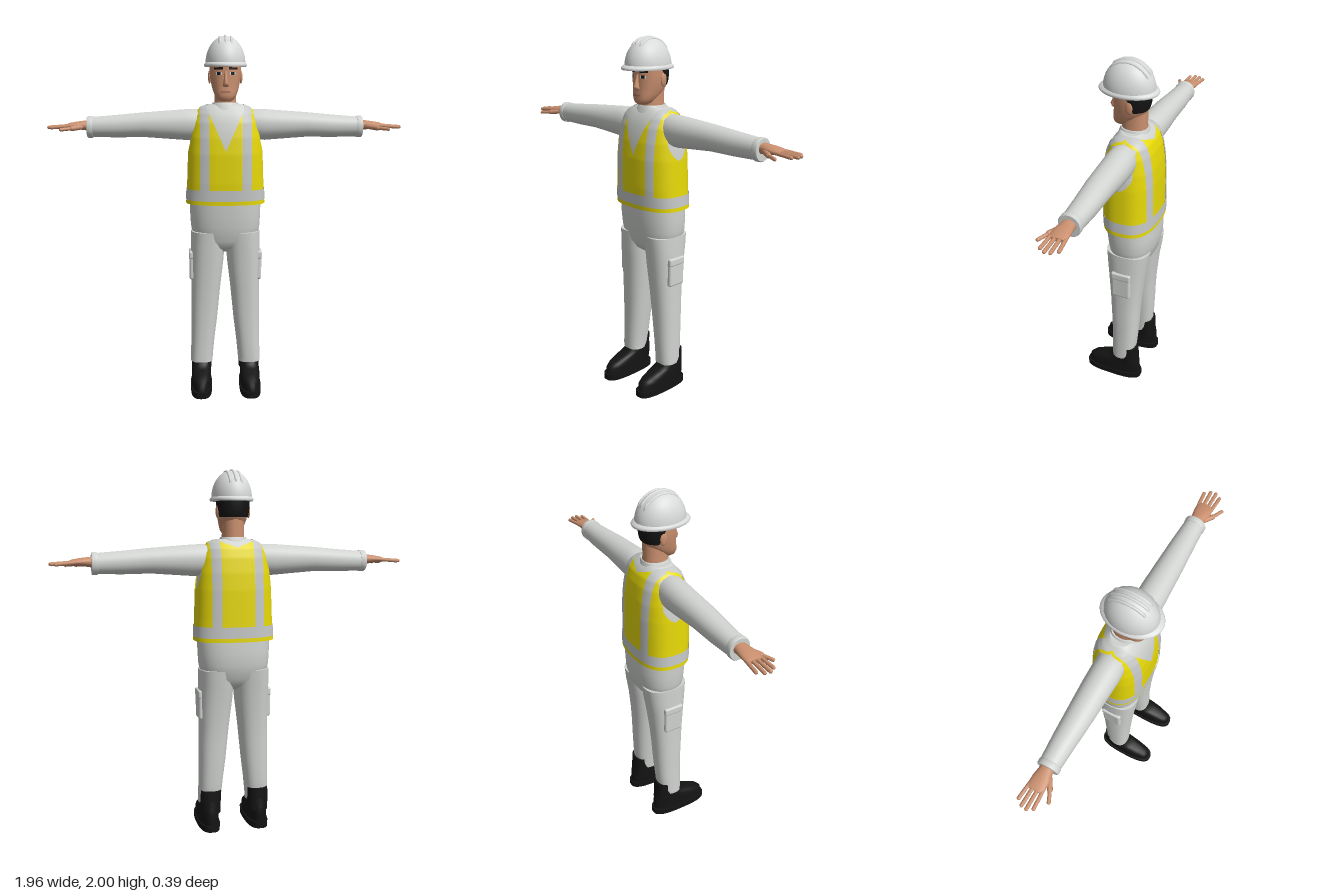
import * as THREE from 'three';
import { RoundedBoxGeometry } from 'three/addons/geometries/RoundedBoxGeometry.js';
import { mergeVertices } from 'three/addons/utils/BufferGeometryUtils.js';

const mat = (name, color, side = THREE.FrontSide) => {
  const m = new THREE.MeshStandardMaterial({ color, side });
  m.name = name;
  return m;
};
const cloth = mat('light grey cloth', 0xd0d3d0);
const shell = mat('helmet white', 0xd8d9d9);
const yellow = mat('vest yellow', 0xe8da08, THREE.DoubleSide);
const stripe = mat('reflective grey', 0xc6c8c8, THREE.DoubleSide);
const black = mat('black', 0x141414);
const skin = mat('skin', 0xc98f6e);
const lip = mat('lip', 0xa06a56);

// Cross-section rows are [y, centre x, half width, front z, back z]
function rowAt(rows, y) {
  let i = 0;
  while (i < rows.length - 2 && y > rows[i + 1][0]) i++;
  const k = THREE.MathUtils.clamp((y - rows[i][0]) / (rows[i + 1][0] - rows[i][0]), 0, 1);
  return rows[i].map((v, j) => v + (rows[i + 1][j] - v) * k);
}
const spow = (v, p) => Math.sign(v) * Math.abs(v) ** p;

// Point on a superellipse section: t = 0 front, PI/2 at +x, PI back
function section([y, xc, w, zf, zb], t, n, o = 0) {
  return [xc + (w + o) * spow(Math.sin(t), 2 / n), y,
    (zf + zb) / 2 + ((zf - zb) / 2 + o) * spow(Math.cos(t), 2 / n)];
}
function build(pos, idx) {
  const g = new THREE.BufferGeometry();
  g.setAttribute('position', new THREE.Float32BufferAttribute(pos, 3));
  g.setIndex(idx);
  g.computeVertexNormals();
  return g;
}

// Closed body through the rows, with flat caps
function loft(rows, n = 2.4, o = 0, seg = 36) {
  const pos = [], idx = [];
  const ring = r => { for (let i = 0; i < seg; i++) pos.push(...section(r, i / seg * Math.PI * 2, n, o)); };
  rows.forEach(ring);
  for (let r = 0; r < rows.length - 1; r++) for (let i = 0; i < seg; i++) {
    const a = r * seg + i, b = r * seg + (i + 1) % seg;
    idx.push(a, b, a + seg, b, b + seg, a + seg);
  }
  [rows[0], rows[rows.length - 1]].forEach((r, top) => {
    const s = pos.length / 3;
    ring(r);
    pos.push(r[1], r[0], (r[3] + r[4]) / 2);
    for (let i = 0; i < seg; i++) {
      const a = s + i, b = s + (i + 1) % seg;
      idx.push(...(top ? [a, b, s + seg] : [b, a, s + seg]));
    }
  });
  return build(pos, idx);
}

// Panel lying on a body between angles t0(y) and t1(y); back = true turns it to the rear
function patch(rows, n, o, y0, y1, t0, t1, back = false, ny = 24, nt = 14) {
  const pos = [], idx = [];
  for (let j = 0; j <= ny; j++) {
    const y = y0 + (y1 - y0) * j / ny, r = rowAt(rows, y);
    let a = t0(y), b = Math.max(a, t1(y));
    if (back) [a, b] = [Math.PI - b, Math.PI - a];
    for (let i = 0; i <= nt; i++) pos.push(...section(r, a + (b - a) * i / nt, n, o));
  }
  for (let j = 0; j < ny; j++) for (let i = 0; i < nt; i++) {
    const a = j * (nt + 1) + i, c = a + nt + 1;
    idx.push(a, a + 1, c, a + 1, c + 1, c);
  }
  return build(pos, idx);
}
// Angle at which a section reaches a given x
const angleX = (rows, n, x) => y => Math.asin(Math.min(1, x / rowAt(rows, y)[2]) ** (n / 2));

// Copy reflected in x, with the corner order restored
function mirrored(geo) {
  const g = mergeVertices(geo).scale(-1, 1, 1), ix = g.index;
  for (let i = 0; i < ix.count; i += 3) {
    const a = ix.getX(i);
    ix.setX(i, ix.getX(i + 1));
    ix.setX(i + 1, a);
  }
  return g;
}

export function createModel() {
  const model = new THREE.Group();
  model.name = 'worker';
  const add = (name, geo, m) => {
    const mesh = new THREE.Mesh(geo, m);
    mesh.name = name;
    model.add(mesh);
  };
  const pair = (name, geo, m) => {
    add(name + 'Left', geo, m);
    add(name + 'Right', mirrored(geo), m);
  };

  // Trousers
  add('hips', loft([[.8, 0, .07, 0, -.08], [.83, 0, .13, .045, -.13], [.87, 0, .18, .068, -.165],
    [.95, 0, .195, .083, -.183], [1.02, 0, .199, .09, -.186], [1.1, 0, .2, .095, -.183]]), cloth);
  pair('trouserLeg', loft([[.15, .137, .063, .03, -.085], [.18, .137, .064, .032, -.105], [.28, .13, .067, .034, -.113],
    [.4, .122, .074, .037, -.12], [.5, .117, .079, .042, -.124], [.6, .111, .083, .048, -.131],
    [.75, .103, .093, .06, -.147], [.84, .1, .096, .068, -.162], [.92, .097, .097, .074, -.172]]), cloth);
  pair('cargoPocket', new RoundedBoxGeometry(.034, .16, .11, 3, .012).translate(.187, .72, -.04), cloth);
  pair('pocketFlap', new RoundedBoxGeometry(.036, .045, .114, 3, .01).translate(.189, .782, -.04), cloth);

  // Boots
  pair('bootSole', loft([[0, .14, .06, .2, -.145], [.035, .14, .061, .2, -.145]], 2.8), black);
  pair('bootUpper', loft([[.03, .14, .055, .19, -.135], [.07, .14, .056, .186, -.136], [.09, .14, .056, .165, -.135],
    [.11, .14, .055, .12, -.133], [.125, .139, .055, .075, -.13], [.14, .138, .056, .035, -.127], [.19, .137, .055, .015, -.12]]), black);
  pair('bootHeelTab', loft([[.1, .137, .057, 0, -.128], [.18, .137, .058, -.015, -.122], [.228, .135, .058, -.025, -.12]]), black);

  // Shirt
  const torso = [[1.08, 0, .22, .1, -.19], [1.2, 0, .214, .106, -.188], [1.36, 0, .208, .107, -.186],
    [1.45, 0, .2, .1, -.18], [1.53, 0, .186, .086, -.168], [1.58, 0, .168, .066, -.152],
    [1.61, 0, .142, .045, -.13], [1.628, 0, .1, .03, -.11]];
  const N = 2.6;
  add('shirtBody', loft([rowAt(torso, 1.1), ...torso.slice(1)], N, -.006, 48), cloth);
  add('collar', loft([[1.59, 0, .085, .05, -.125], [1.625, 0, .074, .038, -.115], [1.638, 0, .068, .03, -.11]]), cloth);

  // Vest: hem and band go all round, the rest is cut by neckline and armholes
  const zero = () => 0, side = () => Math.PI / 2, rear = () => Math.PI;
  const lerp = (y, a, b, va, vb) => THREE.MathUtils.mapLinear(THREE.MathUtils.clamp(y, a, b), a, b, va, vb);
  const armhole = y => {
    const r = rowAt(torso, y), d = (r[3] - r[4]) / 2;
    const a = .066 * Math.sqrt(lerp(y, 1.36, 1.43, 0, 1)) * lerp(y, 1.58, 1.605, 1, 0);
    return Math.acos(Math.min(1, a / d) ** (N / 2));
  };
  const s0 = angleX(torso, N, .09), s1 = angleX(torso, N, .14);
  const vNeck = y => angleX(torso, N, lerp(y, 1.375, 1.6, 0, .1))(y);
  const backNeck = y => angleX(torso, N, lerp(y, 1.585, 1.615, 0, .09))(y);
  pair('vestHem', patch(torso, N, .001, 1.08, 1.102, zero, rear, false, 2, 40), yellow);
  pair('vestBand', patch(torso, N, .003, 1.102, 1.162, zero, rear, false, 4, 40), stripe);
  for (const [part, neck, back] of [['Front', vNeck, false], ['Back', backNeck, true]]) {
    const from = f => y => Math.max(neck(y), f(y));
    const to = f => y => Math.min(armhole(y), f(y));
    pair('vestCentre' + part, patch(torso, N, 0, 1.16, 1.626, neck, s0, back, 60), yellow);
    pair('vestStripe' + part, patch(torso, N, .002, 1.16, 1.626, from(s0), to(s1), back, 60), stripe);
    pair('vestSide' + part, patch(torso, N, 0, 1.16, 1.626, from(s1), to(side), back, 60), yellow);
  }

  // Sleeves and hands are lofted upward, then laid along x
  const along = rows => loft(rows.map(([x, y, r, zf, zb]) => [x, -y, r, zf, zb]), 2.1).rotateZ(-Math.PI / 2);
  pair('sleeve', along([[.1, 1.52, .07, .03, -.11], [.16, 1.517, .084, .038, -.116], [.22, 1.515, .085, .04, -.117],
    [.3, 1.515, .079, .036, -.116], [.45, 1.515, .068, .03, -.11], [.6, 1.507, .062, .02, -.105],
    [.735, 1.503, .055, .012, -.097]]), cloth);
  pair('cuff', along([[.73, 1.503, .057, .013, -.098], [.735, 1.503, .06, .016, -.1],
    [.757, 1.503, .06, .016, -.1], [.762, 1.503, .056, .012, -.097]]), cloth);
  pair('palm', along([[.74, 1.51, .03, -.01, -.076], [.78, 1.512, .026, -.005, -.08], [.82, 1.512, .021, .004, -.086],
    [.86, 1.51, .016, .004, -.088], [.88, 1.508, .01, -.002, -.084]]), skin);
  const finger = (name, a, b, r) => {
    const p = new THREE.Vector3(...a), q = new THREE.Vector3(...b), d = q.clone().sub(p);
    const g = new THREE.CapsuleGeometry(r, d.length(), 4, 10);
    g.applyQuaternion(new THREE.Quaternion().setFromUnitVectors(new THREE.Vector3(0, 1, 0), d.normalize()));
    g.translate(...p.add(q).multiplyScalar(.5).toArray());
    pair(name, g, skin);
  };
  [.945, .968, .972, .955].forEach((x, i) =>
    finger('finger' + i, [.85, 1.51, -.078 + i * .024], [x, 1.502, -.088 + i * .029], .0095));
  finger('thumbBase', [.79, 1.505, -.015], [.84, 1.498, .018], .014);
  finger('thumbTip', [.84, 1.498, .018], [.895, 1.493, .044], .0095);

  // Head
  const head = [[1.645, 0, .028, .058, .005], [1.655, 0, .044, .07, -.02], [1.675, 0, .058, .076, -.045],
    [1.7, 0, .068, .073, -.075], [1.73, 0, .076, .071, -.105], [1.765, 0, .083, .071, -.116],
    [1.8, 0, .086, .07, -.12], [1.85, 0, .086, .07, -.122]];
  const H = 2.3;
  add('neck', loft([[1.6, 0, .064, .03, -.11], [1.66, 0, .059, .03, -.106], [1.74, 0, .06, .02, -.106]], 2.1), skin);
  add('head', loft(head, H), skin);
  add('nose', loft([[1.722, 0, .012, .078, .05], [1.73, 0, .018, .09, .05], [1.742, 0, .015, .097, .05],
    [1.77, 0, .01, .085, .05], [1.805, 0, .009, .074, .05]], 2, 0, 20), skin);
  pair('ear', new THREE.SphereGeometry(1, 16, 12).scale(.009, .036, .02).translate(.086, 1.775, -.04), skin);
  const face = (name, x0, x1, y0, y1, o, m) =>
    pair(name, patch(head, H, o, y0, y1, angleX(head, H, x0), angleX(head, H, x1), false, 4, 8), m);
  face('eyeWhite', .021, .051, 1.785, 1.8, .002, shell);
  face('pupil', .027, .045, 1.785, 1.802, .003, black);
  face('eyebrow', .016, .06, 1.815, 1.826, .004, black);
  face('mouth', 0, .025, 1.69, 1.7, .002, lip);
  pair('hair', patch(head, H, .005, 1.745, 1.84, y => lerp(y, 1.745, 1.84, 1.95, 1.5), rear, false, 8, 18), black);

  // Helmet
  const dome = new THREE.SphereGeometry(1, 40, 20, 0, Math.PI * 2, 0, Math.PI / 2);
  add('helmetDome', dome.scale(.109, .149, .138).translate(0, 1.845, -.008), shell);
  add('helmetBrim', loft([[1.83, 0, .114, .152, -.163], [1.837, 0, .117, .155, -.166],
    [1.845, 0, .115, .15, -.162], [1.853, 0, .108, .132, -.148]], 2, 0, 48), shell);
  for (const x of [-.03, 0, .03]) {
    const k = Math.sqrt(1 - (x / .109) ** 2), pts = [];
    for (let i = 0; i <= 12; i++) {
      const a = -1 + 1.75 * i / 12, e = k * (i % 12 ? 1 : .94);
      pts.push(new THREE.Vector3(x, 1.843 + .149 * e * Math.cos(a), -.008 + .138 * e * Math.sin(a)));
    }
    add('helmetRidge', new THREE.TubeGeometry(new THREE.CatmullRomCurve3(pts), 32, .008, 10), shell);
  }
  return model;
}
